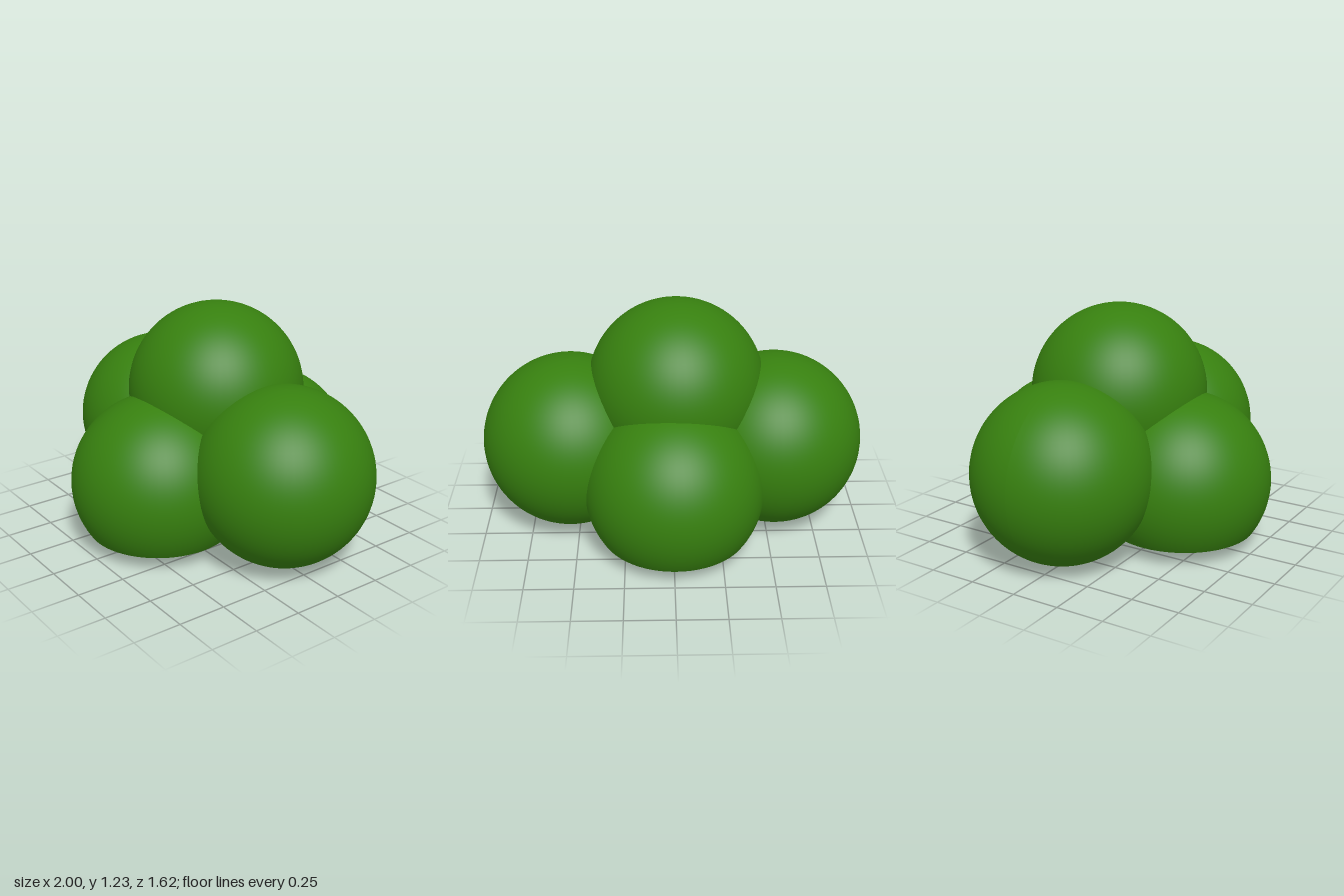
import * as THREE from 'three';

const R = 0.46;      // radius of every foliage ball
const BASE = 0.09;   // height of the flat underside

export function createModel() {
  const bush = new THREE.Group();
  bush.name = 'bush';
  const material = new THREE.MeshStandardMaterial({ color: 0x37800f });

  const add = (name, geometry, x, y, z) => {
    const mesh = new THREE.Mesh(geometry, material);
    mesh.name = name;
    mesh.position.set(x, y, z);
    bush.add(mesh);
  };

  // Crown ball
  add('topFoliage', new THREE.SphereGeometry(R, 64, 48), -0.02, 0.77, -0.025);

  // Front and back balls, cut off flat at the underside
  const cy = 0.345, cz = 0.35;
  const cutAngle = Math.acos((BASE - cy) / R);
  for (const [name, s] of [['frontFoliage', 1], ['backFoliage', -1]]) {
    add(name, new THREE.SphereGeometry(R, 64, 40, 0, Math.PI * 2, 0, cutAngle), -0.005, cy, s * cz);
  }

  // Side balls, their inner undersides trimmed up towards the base
  const sy = 0.465, sx = 0.54;
  for (const [name, s, start] of [['leftFoliage', 1, 0.53], ['rightFoliage', -1, 0.59]]) {
    const geometry = new THREE.SphereGeometry(R, 64, 48);
    const p = geometry.attributes.position;
    for (let i = 0; i < p.count; i++) {
      const outward = s * p.getX(i) + sx;
      const floor = Math.min(BASE, 0.56 * (start - outward)) - sy;
      if (outward < start && p.getY(i) < floor) p.setY(i, floor);
    }
    geometry.computeVertexNormals();
    add(name, geometry, s * sx, sy, -0.03);
  }

  // Flat underside: two discs joined by a neck
  const discR = Math.sqrt(R * R - (cy - BASE) ** 2);
  const a = Math.acos(0.3 / discR);
  const outline = new THREE.Shape();
  outline.absarc(0, cz, discR, -a, Math.PI + a, false);
  outline.absarc(0, -cz, discR, Math.PI - a, Math.PI * 2 + a, false);
  const base = new THREE.ShapeGeometry(outline, 48);
  base.rotateX(Math.PI / 2);
  add('flatBase', base, -0.005, BASE, 0);

  return bush;
}
